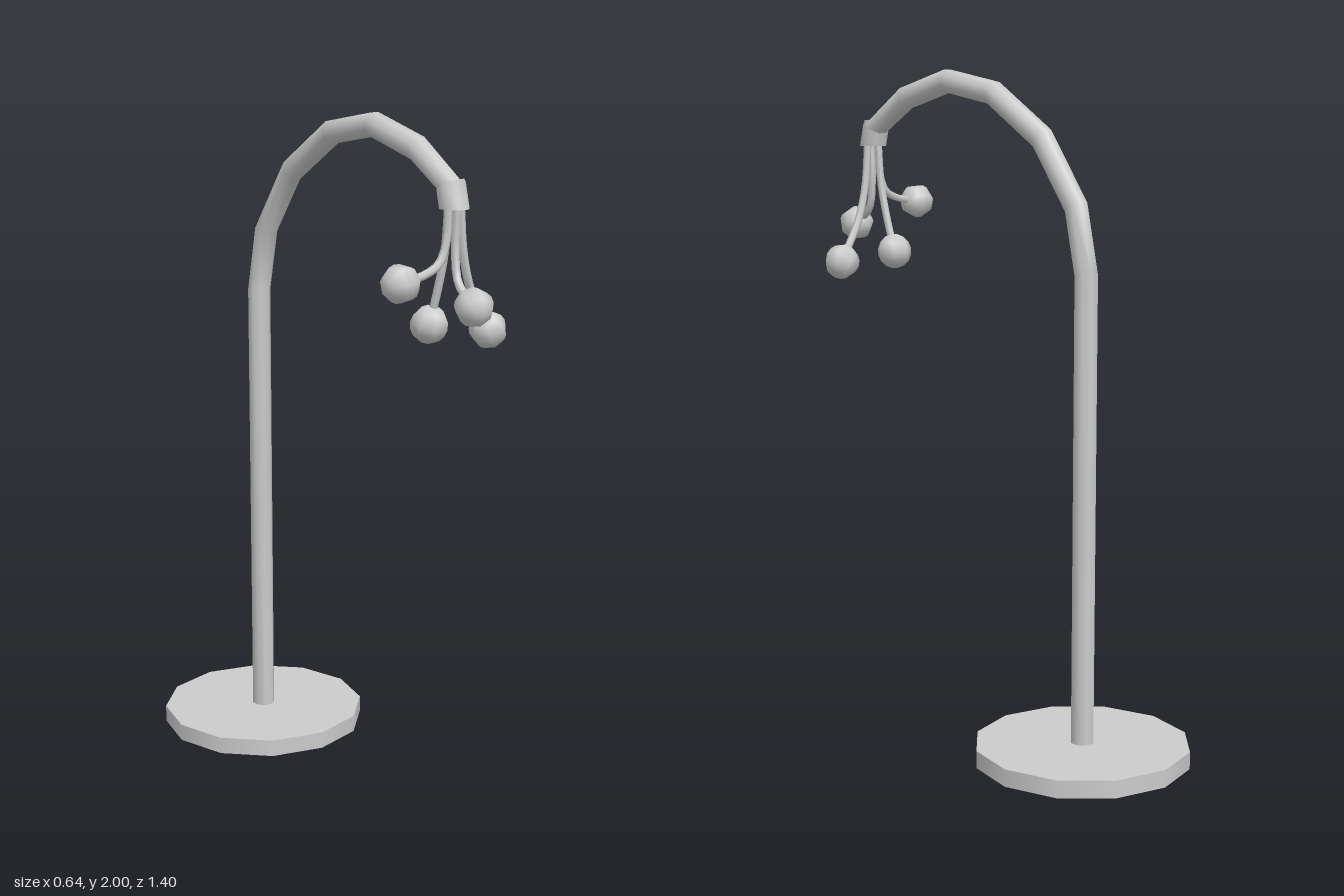
import * as THREE from 'three';

// Double-sided, because the foot, pole and collar are open shells
const material = new THREE.MeshStandardMaterial({ color: 0xcccccc, side: THREE.DoubleSide });

function addMesh(parent, name, geometry) {
  const mesh = new THREE.Mesh(geometry, material);
  mesh.name = name;
  parent.add(mesh);
  return mesh;
}

// Open, mitred eight-sided tube along [y, z] points; its end rings face the given [ty, tz].
function openTube(points, radius, startTangent, endTangent) {
  const sides = 8;
  const path = points.map(([y, z]) => new THREE.Vector3(0, y, z));
  const last = path.length - 1;
  const position = [], index = [];
  path.forEach((p, i) => {
    const t = new THREE.Vector3();
    let miter = 1;
    if (i === 0) t.set(0, ...startTangent).normalize();
    else if (i === last) t.set(0, ...endTangent).normalize();
    else {
      const before = p.clone().sub(path[i - 1]).normalize();
      const after = path[i + 1].clone().sub(p).normalize();
      t.addVectors(before, after).normalize();
      miter = 1 / t.dot(after);
    }
    for (let j = 0; j < sides; j++) {
      const a = ((j + 0.5) / sides) * Math.PI * 2;
      const n = radius * Math.sin(a) * miter;
      position.push(radius * Math.cos(a), p.y + n * t.z, p.z - n * t.y);
    }
  });
  for (let i = 0; i < last; i++) {
    for (let j = 0; j < sides; j++) {
      const a = i * sides + j, b = i * sides + (j + 1) % sides;
      index.push(a, b, a + sides, b, b + sides, a + sides);
    }
  }
  const geometry = new THREE.BufferGeometry();
  geometry.setAttribute('position', new THREE.Float32BufferAttribute(position, 3));
  geometry.setIndex(index);
  geometry.computeVertexNormals();
  return geometry;
}

export function createModel() {
  const model = new THREE.Group();
  model.name = 'archedLamp';

  // Twelve-sided foot: a rim and a top plate, hollow below, with a hole under the pole
  const base = new THREE.Group();
  base.name = 'base';
  base.position.z = -0.378;
  model.add(base);
  const rim = addMesh(base, 'baseRim', new THREE.CylinderGeometry(0.32, 0.32, 0.052, 12, 1, true));
  rim.position.y = 0.026;
  const plate = addMesh(base, 'basePlate', new THREE.RingGeometry(0.033, 0.32, 12));
  plate.rotation.x = -Math.PI / 2;
  plate.position.y = 0.052;

  // Upright pole bending into a faceted arch
  const arch = [
    [0.052, -0.378], [1.425, -0.378], [1.615, -0.337], [1.805, -0.202],
    [1.932, -0.004], [1.967, 0.19], [1.916, 0.378], [1.822, 0.522],
  ];
  addMesh(model, 'pole', openTube(arch, 0.0352, [1, 0], [-0.86, 0.5]));

  // Collar at the tip, tilted on top and level below
  addMesh(model, 'collar', openTube([[1.828, 0.52], [1.768, 0.535]], 0.043, [-0.86, 0.5], [-1, 0]));

  // Curved stems, each ending in a bulb
  const stems = [
    [[-0.022, 1.8, 0.535], [-0.025, 1.69, 0.535], [-0.048, 1.628, 0.536], [-0.1, 1.604, 0.545], [-0.2, 1.588, 0.555]],
    [[0.016, 1.8, 0.54], [0.032, 1.645, 0.538], [0.068, 1.54, 0.53], [0.157, 1.417, 0.505]],
    [[-0.004, 1.8, 0.552], [-0.006, 1.66, 0.548], [-0.012, 1.573, 0.57], [-0.026, 1.521, 0.65]],
    [[0, 1.8, 0.512], [-0.003, 1.65, 0.502], [-0.008, 1.54, 0.48], [-0.013, 1.443, 0.453]],
  ];
  const up = new THREE.Vector3(0, 1, 0);
  for (const points of stems) {
    const lamp = new THREE.Group();
    lamp.name = 'lamp';
    model.add(lamp);
    const curve = new THREE.CatmullRomCurve3(points.map((p) => new THREE.Vector3(...p)));
    addMesh(lamp, 'stem', new THREE.TubeGeometry(curve, 12, 0.012, 6));
    const bulb = addMesh(lamp, 'bulb', new THREE.SphereGeometry(0.054, 7, 8));
    bulb.position.copy(curve.getPoint(1));
    bulb.quaternion.setFromUnitVectors(up, curve.getTangent(1));
  }
  return model;
}
